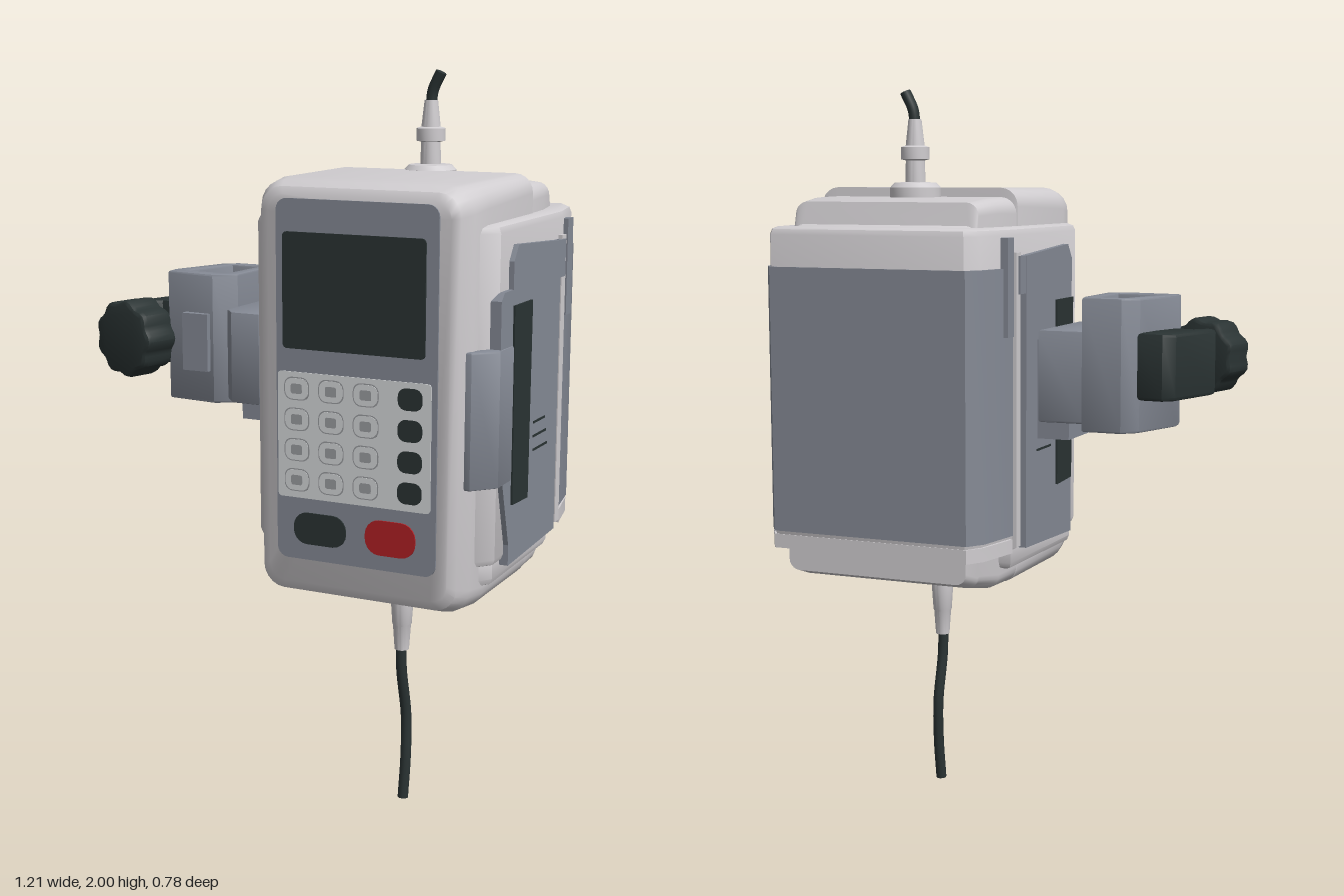
import * as THREE from 'three';
import { toCreasedNormals } from 'three/addons/utils/BufferGeometryUtils.js';

const material = (name, color) => {
  const m = new THREE.MeshStandardMaterial({ color });
  m.name = name;
  return m;
};

export function createModel() {
  const root = new THREE.Group();
  root.name = 'handheldTerminal';
  const light = material('light grey plastic', 0xd0cdd0);
  const grey = material('mid grey plastic', 0x858a95);
  const dark = material('dark rubber', 0x2a3333);
  const red = material('red button', 0xb02025);
  const pale = material('pale keypad', 0xd6d8da);
  const legend = material('key mark', 0x9b9da0);
  const midX = 0.245;

  const add = (name, geo, mat, parent = root) => {
    const m = new THREE.Mesh(geo, mat);
    m.name = name;
    parent.add(m);
    return m;
  };
  const crease = (g, a = 0.6) => toCreasedNormals(g, a);
  const shapeOf = (pts) => new THREE.Shape(pts.map(([x, y]) => new THREE.Vector2(x, y)));

  // Counter-clockwise outline of a rounded rectangle
  const roundRect = (x0, x1, y0, y1, r, n = 5) => {
    const pts = [];
    [[x1 - r, y1 - r], [x0 + r, y1 - r], [x0 + r, y0 + r], [x1 - r, y0 + r]].forEach(([cx, cy], q) => {
      for (let i = 0; i <= n; i++) {
        const a = (q + i / n) * Math.PI / 2;
        pts.push([cx + r * Math.cos(a), cy + r * Math.sin(a)]);
      }
    });
    return pts;
  };

  // Skin through rounded rectangles [z, x0, x1, y0, y1, r], ordered front to back
  const loft = (sections) => {
    const pos = [], idx = [];
    const rings = sections.map(([z, ...s]) => roundRect(...s).map(([x, y]) => [x, y, z]));
    const n = rings[0].length;
    rings.forEach((ring) => ring.forEach((p) => pos.push(...p)));
    for (let k = 0; k < rings.length - 1; k++) {
      for (let i = 0; i < n; i++) {
        const j = (i + 1) % n, a = k * n, b = a + n;
        idx.push(a + i, b + i, b + j, a + i, b + j, a + j);
      }
    }
    const last = (rings.length - 1) * n;
    for (let i = 1; i < n - 1; i++) {
      idx.push(0, i, i + 1, last, last + i + 1, last + i);
    }
    const g = new THREE.BufferGeometry();
    g.setAttribute('position', new THREE.Float32BufferAttribute(pos, 3));
    g.setIndex(idx);
    return crease(g);
  };

  // Upright prism from a plan outline of [x, z] points, with a small bevel
  const prism = (pts, y0, y1, bevel = 0, hole = null) => {
    const shape = shapeOf(pts.map(([x, z]) => [x, -z]));
    if (hole) shape.holes.push(shapeOf(hole.map(([x, z]) => [x, -z])));
    const g = new THREE.ExtrudeGeometry(shape, {
      depth: y1 - y0 - 2 * bevel, bevelEnabled: bevel > 0, bevelSize: bevel,
      bevelOffset: -bevel, bevelThickness: bevel, bevelSegments: 2,
    });
    g.rotateX(-Math.PI / 2).translate(0, y0 + bevel, 0);
    return crease(g);
  };

  // Side slab from [z, y] points between x0 and x1
  const slab = (pts, x0, x1) => {
    const g = new THREE.ExtrudeGeometry(shapeOf(pts.map(([z, y]) => [-z, y])), { depth: x1 - x0, bevelEnabled: false });
    g.rotateY(Math.PI / 2).translate(x0, 0, 0);
    return crease(g);
  };
  const rect = (z0, z1, y0, y1) => [[z0, y0], [z1, y0], [z1, y1], [z0, y1]];

  // Front plate with rounded corners
  const plate = (name, x0, x1, y0, y1, r, z, mat, t = 0.006) => {
    const g = new THREE.ExtrudeGeometry(shapeOf(roundRect(x0, x1, y0, y1, r)), { depth: t, bevelEnabled: false });
    add(name, crease(g.translate(0, 0, z)), mat);
  };

  // Front shell, its stepped top and the sloping underside
  add('frontShell', loft([
    [0.38, 0.0, 0.505, 0.69, 1.7, 0.045],
    [0.368, -0.025, 0.525, 0.665, 1.718, 0.06],
    [0.33, -0.045, 0.545, 0.652, 1.73, 0.065],
    [0.26, -0.058, 0.555, 0.65, 1.735, 0.06],
    [-0.06, -0.05, 0.545, 0.65, 1.737, 0.05],
    [-0.062, -0.047, 0.542, 0.652, 1.712, 0.045],
    [-0.17, -0.04, 0.535, 0.655, 1.71, 0.04],
    [-0.265, -0.025, 0.515, 0.675, 1.7, 0.035],
    [-0.28, -0.025, 0.515, 0.678, 1.64, 0.03],
    [-0.345, -0.02, 0.51, 0.7, 1.6, 0.03],
  ]), light);

  // Wider rear housing with its grey wrap-around battery cover
  add('rearHousing', prism([
    [-0.095, 0.26], [-0.055, 0.31], [0.545, 0.31], [0.585, 0.26], [0.58, -0.2], [0.553, -0.34],
    [0.525, -0.385], [-0.035, -0.385], [-0.063, -0.34], [-0.09, -0.2],
  ], 0.765, 1.635, 0.02), light);
  add('lowerHousing', prism([
    [-0.085, 0.25], [-0.05, 0.3], [0.54, 0.3], [0.575, 0.25], [0.565, -0.17], [-0.075, -0.17],
  ], 0.71, 0.8, 0.02), light);
  add('batteryCover', prism([
    [-0.097, -0.205], [0.587, -0.205], [0.562, -0.34], [0.53, -0.388], [-0.04, -0.388], [-0.072, -0.34],
  ], 0.815, 1.53), grey);
  add('coverLip', prism([
    [-0.097, -0.21], [0.587, -0.21], [0.56, -0.34], [0.53, -0.387], [-0.04, -0.387], [-0.07, -0.34],
  ], 0.768, 0.806), light);

  // Side doors with dark windows, vents and hinges, mirrored about the body
  for (const side of [1, -1]) {
    const group = new THREE.Group();
    group.name = side > 0 ? 'leftSideDoor' : 'rightSideDoor';
    root.add(group);
    const put = (name, pts, x0, x1, mat) =>
      add(name, side > 0 ? slab(pts, x0, x1) : slab(pts, 2 * midX - x1, 2 * midX - x0), mat, group);
    put('door', [[0.2, 0.755], [-0.14, 0.77], [-0.14, 1.56], [0.17, 1.58], [0.2, 1.54]], 0.57, 0.598, grey);
    put('window', [[0.19, 0.915], [0.08, 0.91], [0.075, 1.43], [0.2, 1.43]], 0.598, 0.603, dark);
    for (let i = 0; i < 3; i++) {
      put('vent', rect(-0.065 + i * 0.01, 0.04, 1.025 + i * 0.037, 1.031 + i * 0.037), 0.598, 0.6, dark);
    }
    put('hingeBar', rect(-0.195, -0.165, 0.78, 1.57), 0.57, 0.592, light);
    put('hingeCap', rect(-0.18, -0.142, 1.46, 1.56), 0.57, 0.597, grey);
    put('catch', rect(-0.25, -0.21, 1.35, 1.61), 0.56, 0.591, grey);
  }
  // Latch wrapping the front corner of one side
  add('latch', prism([[0.53, 0.2], [0.602, 0.2], [0.602, 0.29], [0.55, 0.35], [0.53, 0.35]], 0.98, 1.33, 0.006), grey);
  add('latchBack', slab([[0.2, 0.81], [0.25, 0.98], [0.28, 0.98], [0.28, 1.45], [0.26, 1.47], [0.2, 1.47]], 0.54, 0.598), grey);

  // Front panel, screen, keypad and buttons
  plate('facePanel', 0.025, 0.475, 0.755, 1.69, 0.03, 0.378, grey);
  plate('screen', 0.045, 0.442, 1.31, 1.607, 0.012, 0.382, dark);
  plate('keypad', 0.03, 0.46, 0.92, 1.25, 0.01, 0.381, pale);
  for (let row = 0; row < 4; row++) {
    const y = 0.967 + row * 0.08;
    for (let col = 0; col < 3; col++) {
      const x = 0.085 + col * 0.098;
      plate('keyRim', x - 0.036, x + 0.036, y - 0.03, y + 0.03, 0.022, 0.382, legend);
      plate('key', x - 0.033, x + 0.033, y - 0.027, y + 0.027, 0.02, 0.383, pale);
      plate('keyMark', x - 0.016, x + 0.016, y - 0.013, y + 0.013, 0.006, 0.384, legend);
    }
    plate('functionKey', 0.37, 0.437, y - 0.028, y + 0.028, 0.022, 0.383, dark);
  }
  plate('darkButton', 0.075, 0.225, 0.798, 0.882, 0.038, 0.382, dark);
  plate('redButton', 0.28, 0.42, 0.795, 0.887, 0.04, 0.382, red);

  // Cable connectors and cables
  const lathe = (name, profile, x, z) => add(name, crease(new THREE.LatheGeometry(
    profile.map(([r, y]) => new THREE.Vector2(r, y)), 20).translate(x, 0, z)), light);
  lathe('topConnector', [[0.07, 1.7], [0.07, 1.737], [0.058, 1.75], [0.028, 1.752], [0.026, 1.81], [0.039, 1.813],
    [0.039, 1.846], [0.026, 1.85], [0.018, 1.92], [0, 1.92]], 0.24, -0.09);
  lathe('bottomConnector', [[0, 0.44], [0.02, 0.44], [0.025, 0.51], [0.027, 0.515], [0.032, 0.59], [0.032, 0.64],
    [0.055, 0.643], [0.055, 0.67]], 0.25, 0.09);
  const cable = (name, pts) => {
    const curve = new THREE.CatmullRomCurve3(pts.map((p) => new THREE.Vector3(...p)));
    add(name, new THREE.TubeGeometry(curve, 24, 0.015, 10), dark);
    for (const [p, q] of [[pts[0], pts[1]], [pts.at(-1), pts.at(-2)]]) {
      const cap = add(name + 'End', new THREE.CircleGeometry(0.015, 10), dark);
      cap.position.set(...p);
      cap.lookAt(2 * p[0] - q[0], 2 * p[1] - q[1], 2 * p[2] - q[2]);
    }
  };
  cable('topCable', [[0.24, 1.9, -0.09], [0.245, 1.945, -0.09], [0.268, 1.993, -0.09]]);
  cable('bottomCable', [[0.248, 0.46, 0.09], [0.249, 0.38, 0.088], [0.255, 0.24, 0.068], [0.258, 0.12, 0.075], [0.255, 0, 0.085]]);

  // Pole clamp: mount, hollow jaw with dark pad, lever and knob
  const clamp = new THREE.Group();
  clamp.name = 'poleClamp';
  root.add(clamp);
  add('mount', prism([[-0.25, -0.09], [-0.125, -0.095], [-0.125, 0.21], [-0.21, 0.21], [-0.245, 0.17]], 1.11, 1.36, 0.006), grey, clamp);
  add('mountFoot', prism([[-0.2, -0.06], [-0.1, -0.06], [-0.1, 0.17], [-0.2, 0.17]], 1.06, 1.33), grey, clamp);
  add('jaw', prism(
    [[-0.24, -0.06], [-0.25, -0.097], [-0.36, -0.097], [-0.4, -0.06], [-0.455, 0.1], [-0.45, 0.14], [-0.3, 0.155], [-0.24, 0.12]],
    1.09, 1.45, 0.006,
    [[-0.27, -0.055], [-0.36, -0.06], [-0.4, 0.09], [-0.395, 0.11], [-0.28, 0.11]]), grey, clamp);
  add('pad', prism([[-0.26, -0.065], [-0.37, -0.07], [-0.41, 0.1], [-0.4, 0.12], [-0.27, 0.12]], 1.16, 1.39), dark, clamp);
  add('jawGuide', new THREE.BoxGeometry(0.08, 0.16, 0.04).translate(-0.35, 1.26, 0.15), grey, clamp);
  add('lever', prism([[-0.4, -0.08], [-0.47, -0.085], [-0.5, -0.06], [-0.555, 0.12], [-0.53, 0.13], [-0.5, 0.095], [-0.43, 0.11]],
    1.18, 1.36, 0.01), dark, clamp);

  // Lobed knob with bevelled faces on a short stem
  const lobes = [];
  for (let i = 0; i < 54; i++) {
    const a = i / 54 * Math.PI * 2, r = 0.093 + 0.005 * Math.cos(9 * a);
    lobes.push([r * Math.cos(a), r * Math.sin(a)]);
  }
  const knob = new THREE.Group();
  knob.name = 'knobAssembly';
  add('knob', crease(new THREE.ExtrudeGeometry(shapeOf(lobes), {
    depth: 0.075, bevelSize: 0.01, bevelThickness: 0.016, bevelSegments: 2,
  }).translate(0, 0, -0.0375)), dark, knob);
  add('stem', new THREE.CylinderGeometry(0.036, 0.036, 0.16, 16).rotateX(Math.PI / 2).translate(0, 0, -0.11), dark, knob);
  knob.position.set(-0.5, 1.275, 0.235);
  knob.rotation.y = -0.25;
  clamp.add(knob);

  return root;
}
